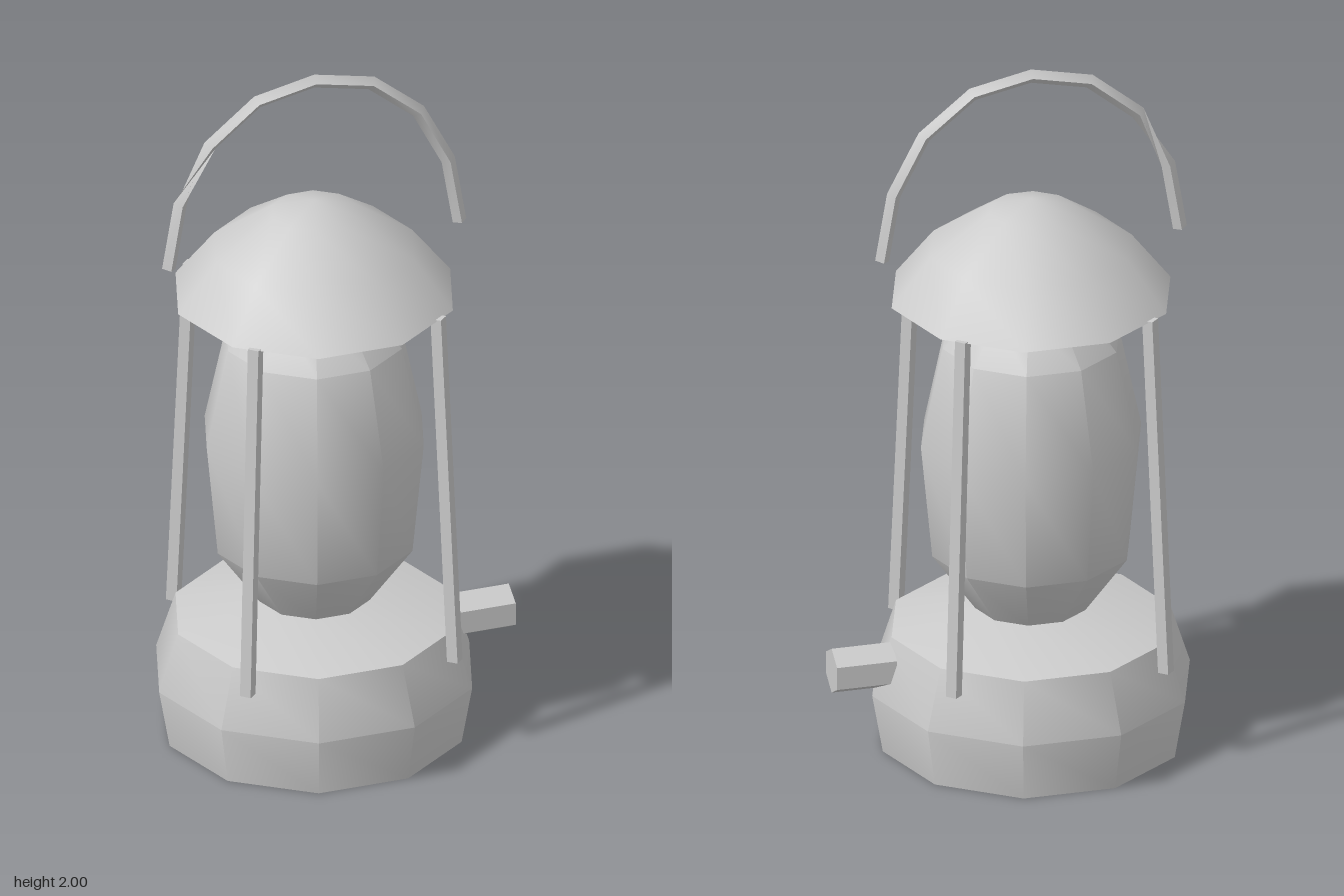
import * as THREE from 'three';
import { toCreasedNormals } from 'three/addons/utils/BufferGeometryUtils.js';

const material = new THREE.MeshStandardMaterial({ color: 0xcccccc });
const AXIS_X = -0.06;

function addMesh(parent, name, geometry) {
  const mesh = new THREE.Mesh(geometry, material);
  mesh.name = name;
  parent.add(mesh);
  return mesh;
}

// Ten-sided turned part, with a corner on the x axis
function turned(profile) {
  const points = profile.map(([r, y]) => new THREE.Vector2(r, y));
  return toCreasedNormals(new THREE.LatheGeometry(points, 10, Math.PI / 2), 0.7);
}

// Diamond-section bar along a path in the xy plane; one span is twisted a quarter turn
function diamondBar(path, radius, twistAfter) {
  const positions = [], index = [];
  path.forEach((p, i) => {
    const a = path[Math.max(i - 1, 0)], b = path[Math.min(i + 1, path.length - 1)];
    const t = new THREE.Vector2(b[0] - a[0], b[1] - a[1]).normalize();
    for (let k = 0; k < 4; k++) {
      const angle = (k + (i > twistAfter ? 1 : 0)) * Math.PI / 2;
      const n = Math.cos(angle) * radius;
      positions.push(p[0] - t.y * n, p[1] + t.x * n, Math.sin(angle) * radius);
    }
  });
  for (let i = 0; i < path.length - 1; i++) {
    for (let k = 0; k < 4; k++) {
      const a = i * 4 + k, b = i * 4 + (k + 1) % 4;
      index.push(a, b, b + 4, a, b + 4, a + 4);
    }
  }
  const e = (path.length - 1) * 4;
  index.push(0, 2, 1, 0, 3, 2, e, e + 1, e + 2, e, e + 2, e + 3);
  const geometry = new THREE.BufferGeometry();
  geometry.setAttribute('position', new THREE.Float32BufferAttribute(positions, 3));
  geometry.setIndex(index);
  return toCreasedNormals(geometry, 0.6);
}

export function createModel() {
  const model = new THREE.Group();
  model.name = 'lantern';

  const body = new THREE.Group();
  body.name = 'body';
  body.position.x = AXIS_X;
  model.add(body);

  // Fuel tank, glass and roof share one axis
  addMesh(body, 'fuelTank', turned([[0, 0], [0.42, 0], [0.45, 0.17], [0.395, 0.34], [0.16, 0.4], [0, 0.4]]));
  addMesh(body, 'glass', turned([[0, 0.395], [0.155, 0.395], [0.28, 0.57], [0.312, 0.9], [0.25, 1.19], [0.15, 1.31]]));
  addMesh(body, 'roof', turned([[0, 1.305], [0.16, 1.305], [0.395, 1.33], [0.285, 1.47], [0.12, 1.58], [0, 1.613]]));

  // Four posts leaning inwards
  for (let i = 0; i < 4; i++) {
    const pivot = new THREE.Group();
    pivot.name = 'postPivot';
    pivot.rotation.y = Math.PI / 4 + i * Math.PI / 2;
    body.add(pivot);
    const post = addMesh(pivot, 'post', new THREE.BoxGeometry(0.032, 1.05, 0.032));
    post.position.set(0.4, 0.81, 0);
    post.rotation.z = Math.atan(0.05 / 1.05);
  }

  // Hexagonal wick knob on the left side, corners up and down
  const knobGeometry = new THREE.CylinderGeometry(0.066, 0.066, 0.17, 6);
  knobGeometry.rotateY(Math.PI / 2).rotateZ(-Math.PI / 2);
  const knob = addMesh(model, 'wickKnob', toCreasedNormals(knobGeometry, 0.6));
  knob.position.set(0.42, 0.26, 0);

  // Carrying handle
  const half = [[0.422, 1.476], [0.389, 1.67], [0.303, 1.835], [0.166, 1.946]];
  const arc = [
    ...half.map(([x, y]) => [-x, y]),
    [0, 1.981],
    ...half.slice().reverse(),
  ];
  addMesh(body, 'handle', diamondBar(arc, 0.02, 1));

  return model;
}
